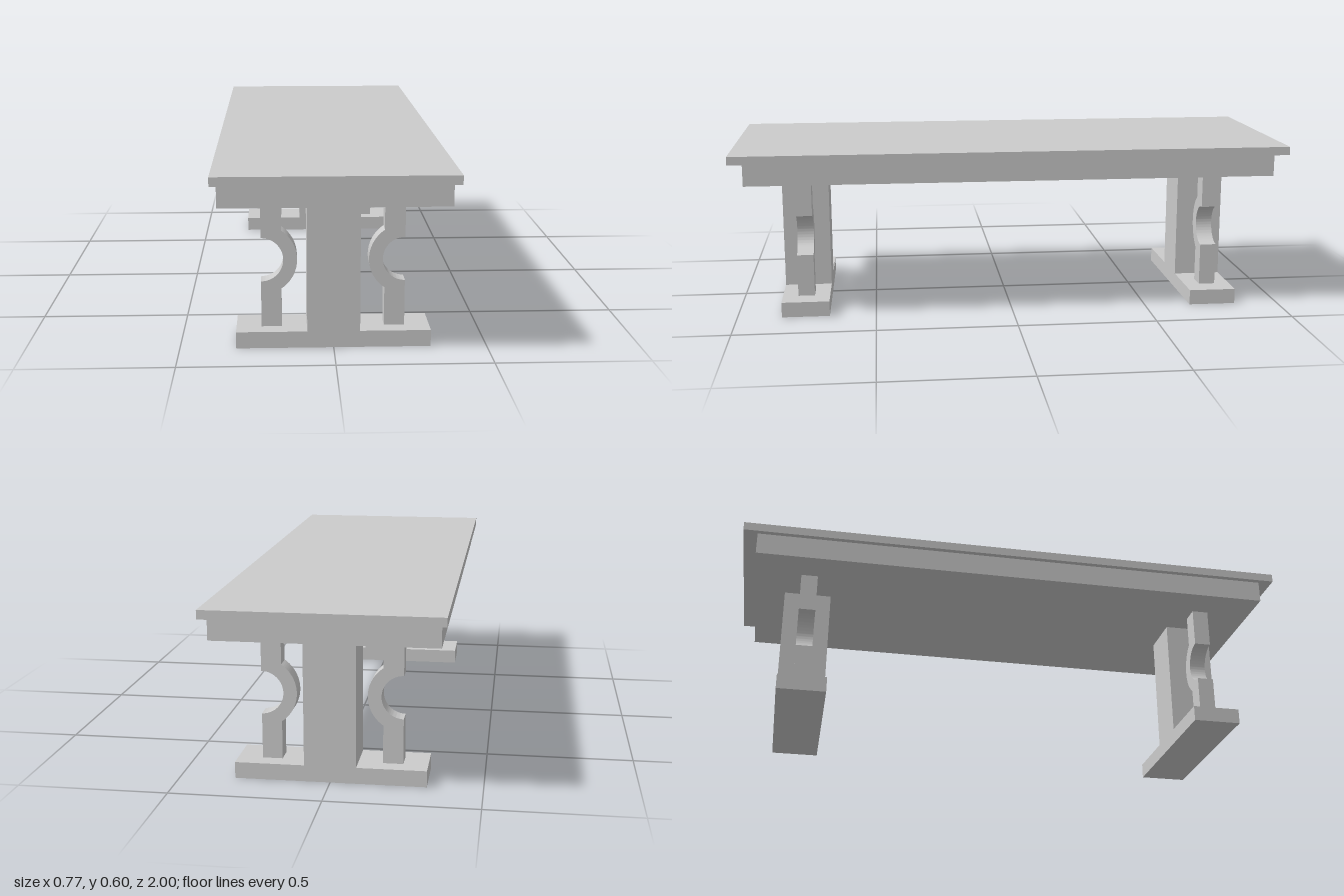
import * as THREE from 'three';
import { toCreasedNormals } from 'three/addons/utils/BufferGeometryUtils.js';

const material = new THREE.MeshStandardMaterial({ color: 0xcccccc });

// Box given by its width, bottom, top and depth, centred on x and z
function slab(name, width, bottom, top, depth) {
  const mesh = new THREE.Mesh(new THREE.BoxGeometry(width, top - bottom, depth), material);
  mesh.name = name;
  mesh.position.y = (bottom + top) / 2;
  return mesh;
}

// Upright post that bows inward around a round notch
function bracketGeometry() {
  const outer = 0.235, inner = 0.168, bottom = 0.055, top = 0.495;
  const cy = 0.282, notch = 0.073, bow = 0.118, depth = 0.06;
  const angle = Math.acos((inner - outer) / bow);
  const shape = new THREE.Shape();
  shape.moveTo(outer, bottom);
  shape.lineTo(outer, cy - notch);
  shape.absarc(outer, cy, notch, Math.PI * 1.5, Math.PI * 0.5, true);
  shape.lineTo(outer, top);
  shape.lineTo(inner, top);
  shape.absarc(outer, cy, bow, angle, Math.PI * 2 - angle, false);
  shape.lineTo(inner, bottom);
  shape.closePath();
  const geometry = new THREE.ExtrudeGeometry(shape, { depth, bevelEnabled: false, curveSegments: 32 });
  geometry.translate(0, 0, -depth / 2);
  return toCreasedNormals(geometry, 0.5);
}

export function createModel() {
  const table = new THREE.Group();
  table.name = 'table';
  table.add(slab('tableTop', 0.77, 0.574, 0.604, 2));
  table.add(slab('apron', 0.732, 0.495, 0.574, 1.9));

  // Two pedestals, one near each end
  const bracket = bracketGeometry();
  for (const end of [1, -1]) {
    const pedestal = new THREE.Group();
    pedestal.name = end > 0 ? 'frontPedestal' : 'backPedestal';
    pedestal.add(slab('foot', 0.634, 0, 0.055, 0.172));
    pedestal.add(slab('column', 0.172, 0.055, 0.495, 0.172));
    // Half a turn puts the same bracket on the other side
    for (const side of [1, -1]) {
      const mesh = new THREE.Mesh(bracket, material);
      mesh.name = side > 0 ? 'leftBracket' : 'rightBracket';
      mesh.rotation.y = side > 0 ? 0 : Math.PI;
      pedestal.add(mesh);
    }
    pedestal.position.z = end * 0.754;
    table.add(pedestal);
  }
  return table;
}
